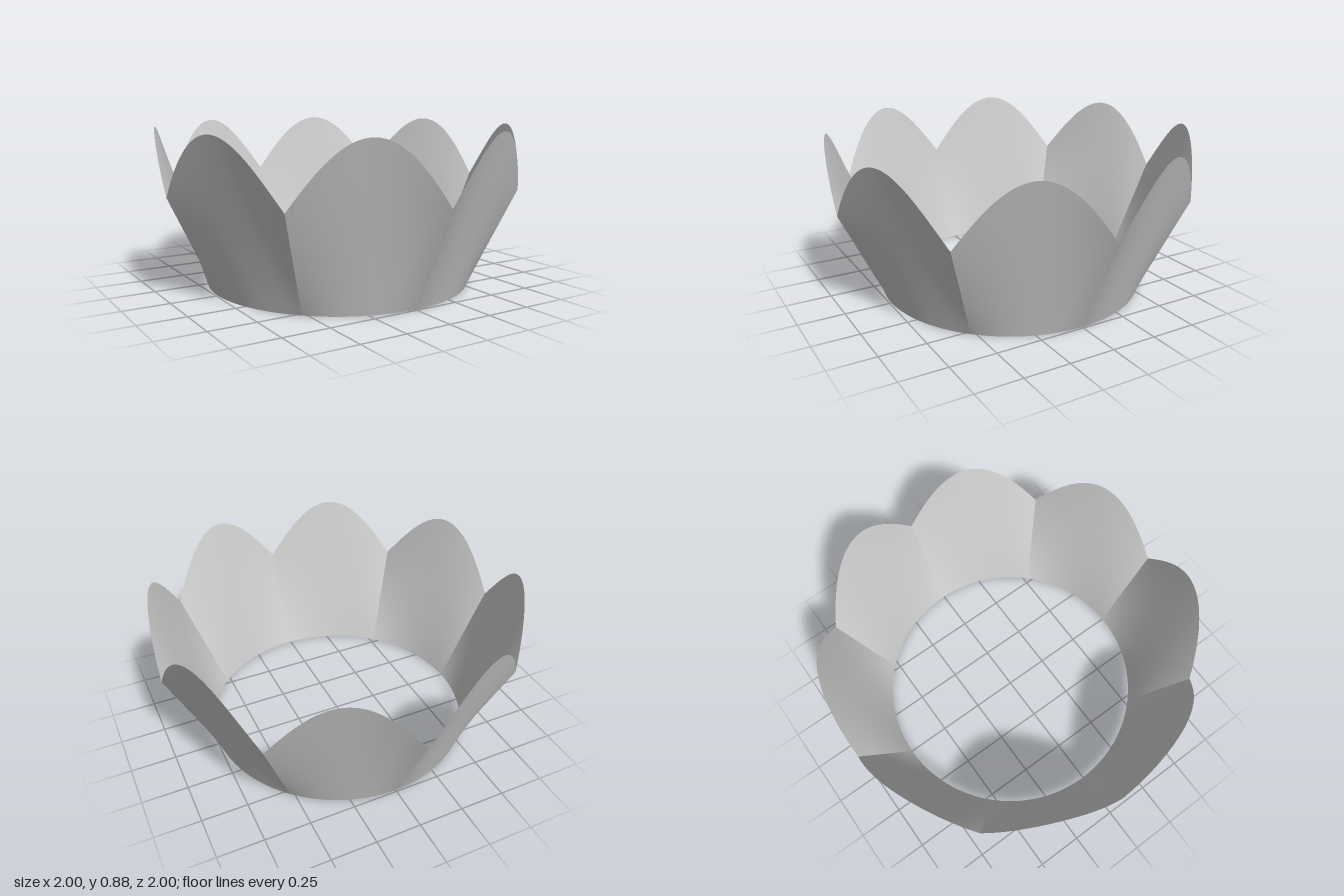
import * as THREE from 'three';

const PETALS = 8;
const BASE_RADIUS = 0.74;
const RIM_RADIUS = 1;
const VALLEY = 0.545; // rim height between petals
const PEAK = 0.88; // rim height at petal tips

// One flared wall segment, stretched upwards so its rim forms an arch
function petalGeometry() {
  const arc = (Math.PI * 2) / PETALS;
  const geometry = new THREE.CylinderGeometry(RIM_RADIUS, BASE_RADIUS, 1, 32, 12, true, 0, arc);
  geometry.translate(0, 0.5, 0);
  const position = geometry.attributes.position;
  for (let i = 0; i < position.count; i++) {
    const angle = Math.atan2(position.getX(i), position.getZ(i));
    const rim = VALLEY + (PEAK - VALLEY) * Math.sin((Math.PI * angle) / arc);
    position.setY(i, position.getY(i) * rim);
  }
  geometry.computeVertexNormals();
  return geometry;
}

export function createModel() {
  const model = new THREE.Group();
  model.name = 'petalBowl';
  const material = new THREE.MeshStandardMaterial({ color: 0xcccccc, side: THREE.DoubleSide });
  const geometry = petalGeometry();

  // Ring of petals
  for (let i = 0; i < PETALS; i++) {
    const petal = new THREE.Mesh(geometry, material);
    petal.name = `petal${i + 1}`;
    petal.rotation.y = (i * Math.PI * 2) / PETALS;
    model.add(petal);
  }
  return model;
}
